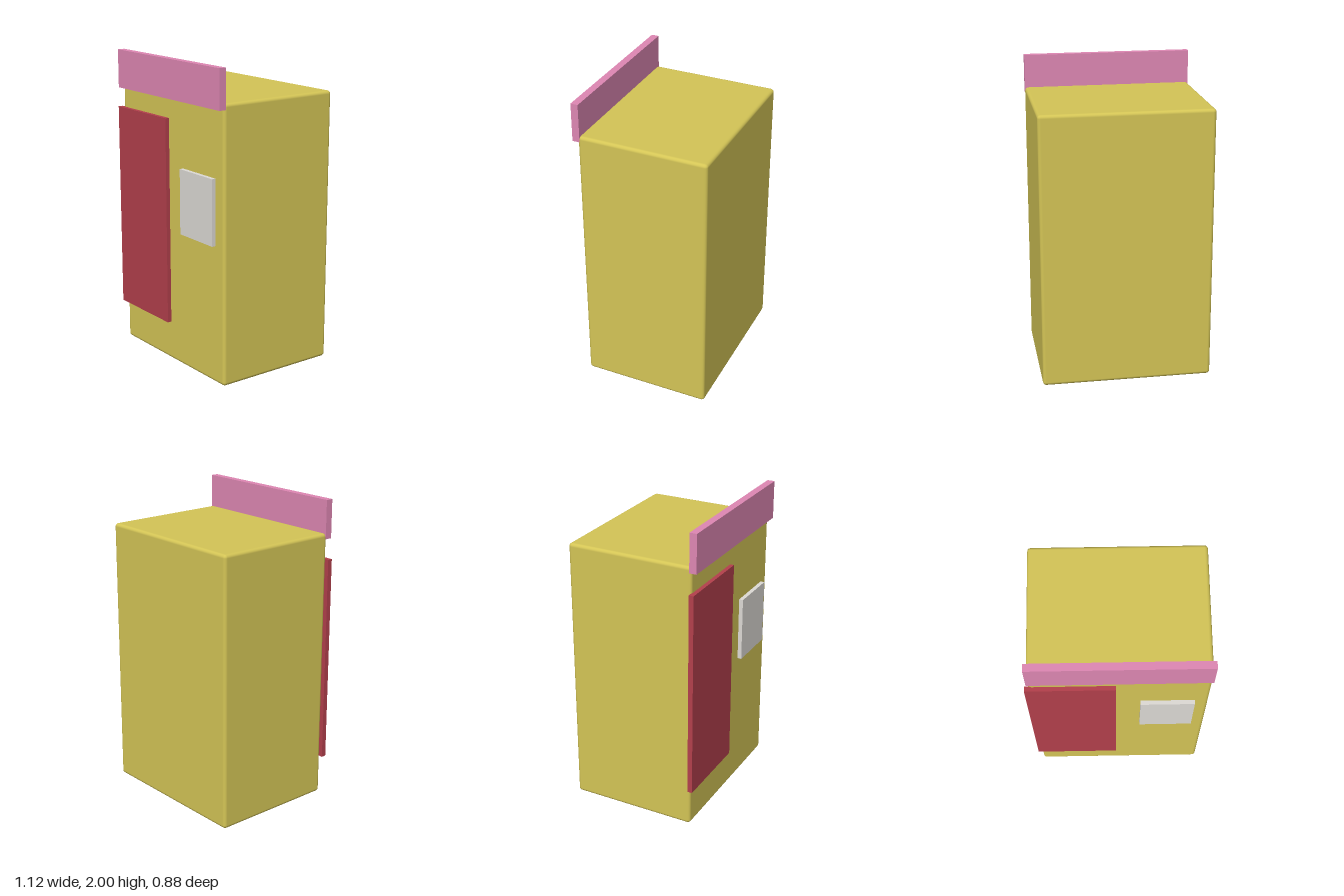
import * as THREE from 'three';
import { RoundedBoxGeometry } from 'three/addons/geometries/RoundedBoxGeometry.js';

// Box given by its lower and upper corners; radius > 0 rounds the edges
function addBlock(group, name, color, min, max, radius = 0) {
  const size = max.map((v, i) => v - min[i]);
  const geometry = radius > 0
    ? new RoundedBoxGeometry(...size, 2, radius)
    : new THREE.BoxGeometry(...size);
  const mesh = new THREE.Mesh(geometry, new THREE.MeshStandardMaterial({ color }));
  mesh.name = name;
  mesh.position.set(...max.map((v, i) => (v + min[i]) / 2));
  group.add(mesh);
}

export function createModel() {
  const group = new THREE.Group();
  group.name = 'vendingMachine';

  // Cabinet with softly rounded edges
  addBlock(group, 'cabinet', 0xd4c556, [-0.543, 0, -0.44], [0.56, 1.787, 0.405], 0.022);
  // Sign board standing above the front edge
  addBlock(group, 'signBoard', 0xde87b3, [-0.545, 1.75, 0.392], [0.56, 2, 0.44]);
  // Front panel, slightly overhanging the side
  addBlock(group, 'frontPanel', 0xb3404c, [-0.565, 0.26, 0.4], [-0.015, 1.62, 0.432]);
  // Small control plate
  addBlock(group, 'controlPlate', 0xdddad5, [0.137, 0.9, 0.4], [0.475, 1.323, 0.432]);

  return group;
}
